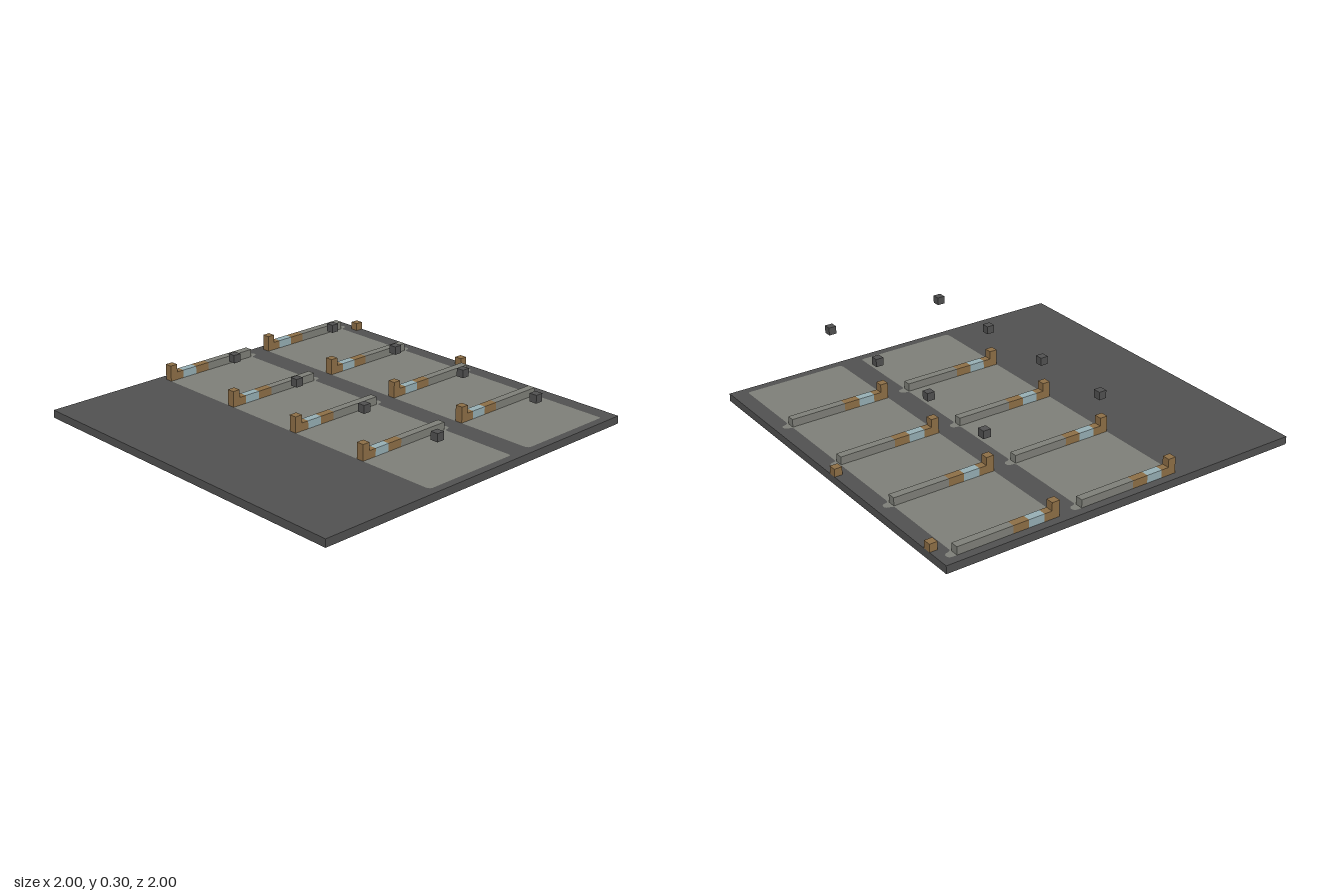
import * as THREE from 'three';

const mat = (name, color) => {
  const m = new THREE.MeshStandardMaterial({ color });
  m.name = name;
  return m;
};

export function createModel() {
  const group = new THREE.Group();
  const asphalt = mat('dark asphalt', 0x525252);
  const stone = mat('grey stone', 0x80817a);
  const wood = mat('brown wood', 0x8f7047);
  const glass = mat('pale blue', 0x98b1b7);

  const thickness = 0.042;
  const railX = [-0.935, -0.427, 0.04, 0.508];
  const rowFront = [-0.361, 0.319]; // front edge of each row of bays

  // Box given by its minimum and maximum corners
  const box = (name, material, x0, x1, y0, y1, z0, z1) => {
    const mesh = new THREE.Mesh(new THREE.BoxGeometry(x1 - x0, y1 - y0, z1 - z0), material);
    mesh.position.set((x0 + x1) / 2, (y0 + y1) / 2, (z0 + z1) / 2);
    mesh.name = name;
    group.add(mesh);
  };

  // Flat slab lying on y = 0, drawn with shape y = -z
  const slab = (name, material, shape) => {
    const geo = new THREE.ExtrudeGeometry(shape, { depth: thickness, bevelEnabled: false, curveSegments: 5 });
    geo.rotateX(-Math.PI / 2);
    const mesh = new THREE.Mesh(geo, material);
    mesh.name = name;
    group.add(mesh);
  };

  // Bay outline: rounded right corners and a rounded tab behind each rail
  const bayOutline = (Path, zFront) => {
    const p = new Path();
    const l = -0.956, r = 0.956, c = 0.026;
    const front = -zFront, back = front + 0.556, tip = back + 0.041;
    p.moveTo(l + 0.01, front);
    p.lineTo(r - c, front);
    p.quadraticCurveTo(r, front, r, front + c);
    p.lineTo(r, back - 0.015);
    p.quadraticCurveTo(r, back, r - 0.015, back);
    [...railX].reverse().forEach((x, i) => {
      p.lineTo(x + 0.04, back);
      p.quadraticCurveTo(x + 0.023, back, x + 0.021, back + 0.018);
      p.quadraticCurveTo(x + 0.018, tip, x, tip);
      if (i < 3) {
        p.quadraticCurveTo(x - 0.018, tip, x - 0.021, back + 0.018);
        p.quadraticCurveTo(x - 0.023, back, x - 0.04, back);
      } else {
        p.quadraticCurveTo(l, tip, l, back + 0.018);
      }
    });
    p.lineTo(l, front + 0.01);
    p.quadraticCurveTo(l, front, l + 0.01, front);
    return p;
  };

  // Ground with the bays let in flush on both faces
  const ground = new THREE.Shape([[-1, -1], [1, -1], [1, 1], [-1, 1]].map(([x, y]) => new THREE.Vector2(x, y)));
  rowFront.forEach(z => ground.holes.push(bayOutline(THREE.Path, z)));
  slab('ground', asphalt, ground);
  rowFront.forEach(z => slab('bayRow', stone, bayOutline(THREE.Shape, z)));

  for (const z of rowFront) {
    for (const x of railX) {
      const a = x - 0.021, b = x + 0.021, top = 0.084;
      // Divider rail in coloured sections, ending in a post
      box('rail', stone, a, b, thickness, top, z - 0.554, z - 0.254);
      box('railBackBand', wood, a, b, thickness, top, z - 0.254, z - 0.169);
      box('railPaleBand', glass, a, b, thickness, top, z - 0.169, z - 0.083);
      box('railFrontBand', wood, a, b, thickness, top, z - 0.083, z - 0.042);
      box('post', wood, a, b, thickness, 0.127, z - 0.042, z);
    }
    // Floating cubes above the bays
    for (const x of [-0.468, 0, 0.467, 0.934]) {
      box('floatingCube', asphalt, x - 0.021, x + 0.021, 0.256, 0.298, z - 0.087, z - 0.045);
    }
  }

  // Short pegs on the back edge
  for (const x of [-0.85, -0.044]) {
    box('backPeg', wood, x - 0.021, x + 0.021, thickness, 0.084, -1, -0.958);
  }
  return group;
}
